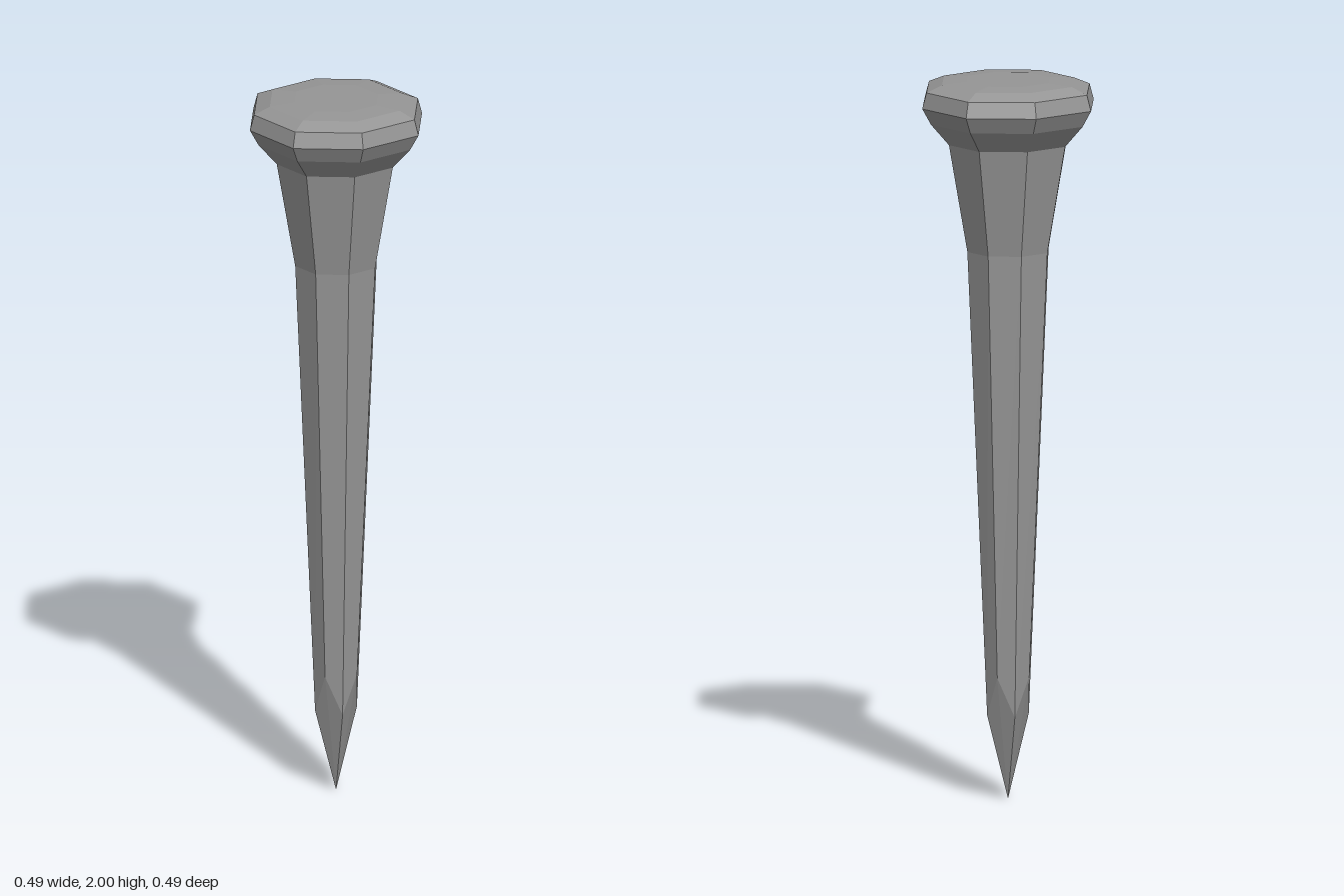
import * as THREE from 'three';

const SIDES = 8;

// Eight-sided ring: corners on the axes at radius r, diagonal corners slightly further out.
// diagY lets the diagonal corners sit at another height.
function ring(r, y, diagY = y, diagR = r * 1.03) {
  return Array.from({ length: SIDES }, (_, i) => {
    const a = (i / SIDES) * Math.PI * 2;
    const rad = i % 2 ? diagR : r;
    return [Math.sin(a) * rad, i % 2 ? diagY : y, Math.cos(a) * rad];
  });
}

// Skin a stack of rings from bottom to top, with optional end points
function loft(name, rings, { bottom, top }, material) {
  const pos = [];
  const tri = (a, b, c) => pos.push(...a, ...b, ...c);
  for (let i = 0; i < SIDES; i++) {
    const j = (i + 1) % SIDES;
    for (let k = 0; k < rings.length - 1; k++) {
      const lo = rings[k], hi = rings[k + 1];
      tri(lo[i], lo[j], hi[j]);
      tri(lo[i], hi[j], hi[i]);
    }
    if (bottom) tri(bottom, rings[0][j], rings[0][i]);
    if (top) tri(rings.at(-1)[i], rings.at(-1)[j], top);
  }
  const geometry = new THREE.BufferGeometry();
  geometry.setAttribute('position', new THREE.Float32BufferAttribute(pos, 3));
  geometry.computeVertexNormals();
  const mesh = new THREE.Mesh(geometry, material);
  mesh.name = name;
  return mesh;
}

export function createModel() {
  const group = new THREE.Group();
  group.name = 'nail';
  const metal = new THREE.MeshStandardMaterial({ color: 0x959595, flatShading: true });

  // Shared rings where the parts meet
  const tipRing = ring(0.06, 0.235, 0.345, 0.065);
  const neckRing = ring(0.117, 1.527);
  const collarRing = ring(0.17, 1.827);

  // Four-sided point cut across the eight-sided shaft
  group.add(loft('point', [tipRing], { bottom: [0, 0, 0] }, metal));
  // Tapering shaft
  group.add(loft('shaft', [tipRing, neckRing], {}, metal));
  // Flared neck under the head
  group.add(loft('neck', [neckRing, collarRing], {}, metal));
  // Bevelled head with a very slightly crowned top
  group.add(loft('head', [
    collarRing, ring(0.222, 1.887), ring(0.247, 1.932), ring(0.235, 1.976),
    ring(0.19, 1.995), ring(0.12, 2),
  ], { top: [0, 2, 0] }, metal));

  return group;
}
